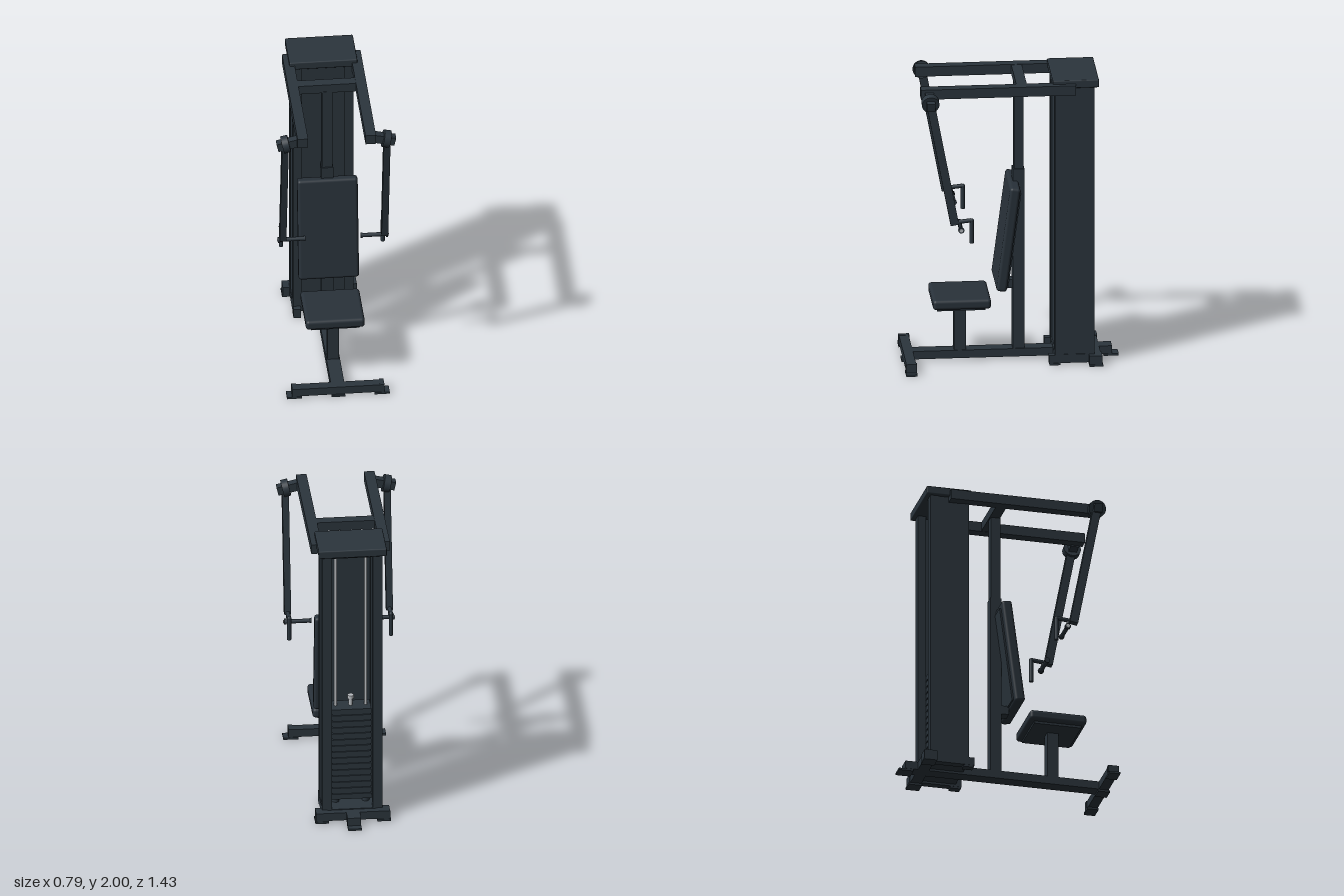
import * as THREE from 'three';
import { RoundedBoxGeometry } from 'three/addons/geometries/RoundedBoxGeometry.js';

export function createModel() {
  const root = new THREE.Group();
  root.name = 'chestPressMachine';
  const mat = (name, color) => {
    const m = new THREE.MeshStandardMaterial({ color });
    m.name = name;
    return m;
  };
  const frame = mat('darkFrame', 0x2b353d);
  const pad = mat('darkPadding', 0x29323a);
  const steel = mat('brightSteel', 0xb8bcc0);

  const add = (name, geo, m, x, y, z, parent = root) => {
    const mesh = new THREE.Mesh(geo, m);
    mesh.name = name;
    mesh.position.set(x, y, z);
    parent.add(mesh);
    return mesh;
  };
  // Box given by its limits on each axis
  const box = (name, x0, x1, y0, y1, z0, z1, m = frame, parent = root) =>
    add(name, new THREE.BoxGeometry(x1 - x0, y1 - y0, z1 - z0), m,
      (x0 + x1) / 2, (y0 + y1) / 2, (z0 + z1) / 2, parent);
  // Same box on both sides of the centre plane
  const pair = (name, x0, x1, y0, y1, z0, z1, m = frame) => {
    box(name + 'Left', x0, x1, y0, y1, z0, z1, m);
    box(name + 'Right', -x1, -x0, y0, y1, z0, z1, m);
  };
  // Round bar between two points
  const bar = (name, a, b, r, m, parent = root) => {
    const p = new THREE.Vector3(...a), q = new THREE.Vector3(...b);
    const d = q.clone().sub(p);
    const mesh = add(name, new THREE.CylinderGeometry(r, r, d.length(), 20), m, 0, 0, 0, parent);
    mesh.position.copy(p).add(q).multiplyScalar(0.5);
    mesh.quaternion.setFromUnitVectors(new THREE.Vector3(0, 1, 0), d.normalize());
    return mesh;
  };

  // Base frame and feet
  box('baseSpine', -0.045, 0.045, 0.015, 0.07, -0.675, 0.64);
  box('frontCrossbar', -0.3, 0.3, 0.015, 0.07, 0.64, 0.705);
  pair('frontCrossbarCap', 0.275, 0.305, 0.012, 0.073, 0.636, 0.709);
  pair('frontFoot', 0.24, 0.34, 0, 0.014, 0.635, 0.71);
  box('frontCentreFoot', -0.045, 0.045, 0, 0.014, 0.635, 0.715);
  box('rearCentreFoot', -0.045, 0.045, 0, 0.014, -0.72, -0.62);
  box('rearCrossbar', -0.235, 0.235, 0.015, 0.07, -0.59, -0.515);
  pair('rearCrossbarCap', 0.165, 0.245, 0.012, 0.073, -0.596, -0.51);
  pair('rearFoot', 0.16, 0.25, 0, 0.014, -0.6, -0.51);
  pair('towerBaseRail', 0.15, 0.2, 0.015, 0.07, -0.515, -0.245);
  pair('towerFrontFoot', 0.15, 0.2, 0, 0.014, -0.32, -0.25);
  box('towerFloor', -0.2, 0.2, 0.03, 0.075, -0.545, -0.285);

  // Weight tower: four columns, panels and cap
  pair('towerFrontColumn', 0.14, 0.2, 0.07, 1.95, -0.345, -0.285);
  pair('towerRearColumn', 0.135, 0.2, 0.07, 1.95, -0.545, -0.49);
  pair('towerSidePanel', 0.175, 0.195, 0.07, 1.95, -0.49, -0.345);
  box('towerFrontPanel', -0.14, 0.14, 0.07, 1.95, -0.315, -0.295);
  box('towerTopBeam', -0.135, 0.135, 1.89, 1.95, -0.47, -0.37);
  add('towerCap', new RoundedBoxGeometry(0.45, 0.055, 0.305, 2, 0.008), frame, 0, 1.9725, -0.4225);

  // Weight stack, guide rods and selector stem
  const plates = 15, step = 0.67 / plates;
  for (let i = 0; i < plates; i++) {
    const y = 0.12 + i * step;
    box('weightPlate', -0.13, 0.13, y, y + step - 0.008, -0.49, -0.355);
  }
  box('stackCore', -0.122, 0.122, 0.12, 0.78, -0.482, -0.363);
  for (const s of [1, -1]) {
    bar('guideRod', [s * 0.1, 0.075, -0.42], [s * 0.1, 1.89, -0.42], 0.01, steel);
    bar('stackBumper', [s * 0.1, 0.075, -0.42], [s * 0.1, 0.12, -0.42], 0.024, frame);
  }
  bar('selectorStem', [0, 0.78, -0.42], [0, 0.835, -0.42], 0.013, steel);
  bar('selectorHead', [0, 0.83, -0.42], [0, 0.855, -0.42], 0.021, steel);

  // Upright and overhead frame
  box('uprightLower', -0.04, 0.04, 0.07, 1.325, -0.097, -0.02);
  box('uprightUpper', -0.034, 0.034, 1.325, 1.92, -0.092, -0.028);
  box('overheadCrossbeam', -0.19, 0.19, 1.91, 1.972, -0.1, -0.03);
  pair('overheadBeam', 0.19, 0.26, 1.908, 1.975, -0.42, 0.605);

  // Seat
  box('seatPost', -0.038, 0.038, 0.07, 0.39, 0.29, 0.368);
  box('seatPlate', -0.16, 0.16, 0.388, 0.41, 0.17, 0.49);
  add('seatPad', new RoundedBoxGeometry(0.39, 0.068, 0.385, 4, 0.022), pad, 0, 0.438, 0.3275);

  // Tilted backrest
  const back = new THREE.Group();
  back.name = 'backrest';
  back.position.set(0, 0.883, 0.021);
  back.rotation.x = -0.13;
  root.add(back);
  add('backPad', new RoundedBoxGeometry(0.4, 0.726, 0.07, 4, 0.02), pad, 0, 0, 0, back);
  box('backPlate', -0.16, 0.16, -0.34, 0.32, -0.046, -0.03, frame, back);
  box('backBracket', -0.035, 0.035, 0.49, 0.55, -0.04, 0.03);

  // Swinging press arms with pivots and handles
  for (const s of [1, -1]) {
    const arm = new THREE.Group();
    arm.name = s > 0 ? 'leftPressArm' : 'rightPressArm';
    root.add(arm);

    const pivot = new THREE.Group();
    pivot.name = 'pivot';
    pivot.position.set(s * 0.333, 1.908, 0.55);
    pivot.rotation.z = -s * 0.23;
    arm.add(pivot);
    add('pivotAxle', new THREE.BoxGeometry(0.14, 0.058, 0.056), frame, -s * 0.012, 0, 0, pivot);
    const disc = add('pivotDisc', new THREE.CylinderGeometry(0.058, 0.058, 0.046, 28), frame, 0, 0, 0, pivot);
    disc.rotation.z = Math.PI / 2;

    const lever = add('lever', new THREE.BoxGeometry(0.044, 0.83, 0.055), frame, s * 0.337, 1.466, 0.467, arm);
    lever.rotation.x = 0.186;

    const hx = s * 0.337;
    bar('horizontalGrip', [s * 0.185, 1.022, 0.348], [s * 0.36, 1.022, 0.348], 0.014, frame, arm);
    bar('gripInnerCollar', [s * 0.183, 1.022, 0.348], [s * 0.195, 1.022, 0.348], 0.018, frame, arm);
    bar('gripOuterCollar', [s * 0.35, 1.022, 0.348], [s * 0.364, 1.022, 0.348], 0.02, frame, arm);
    bar('gripEndCap', [s * 0.363, 1.022, 0.348], [s * 0.369, 1.022, 0.348], 0.012, steel, arm);
    bar('handleLink', [hx, 1.073, 0.375], [hx, 1.083, 0.28], 0.014, frame, arm);
    bar('verticalGrip', [hx, 0.925, 0.277], [hx, 1.083, 0.277], 0.014, frame, arm);
    add('handleElbow', new THREE.SphereGeometry(0.015, 16, 12), frame, hx, 1.081, 0.277, arm);
    bar('handleBracket', [hx, 1.022, 0.348], [hx, 1.076, 0.36], 0.012, frame, arm);
  }
  return root;
}
